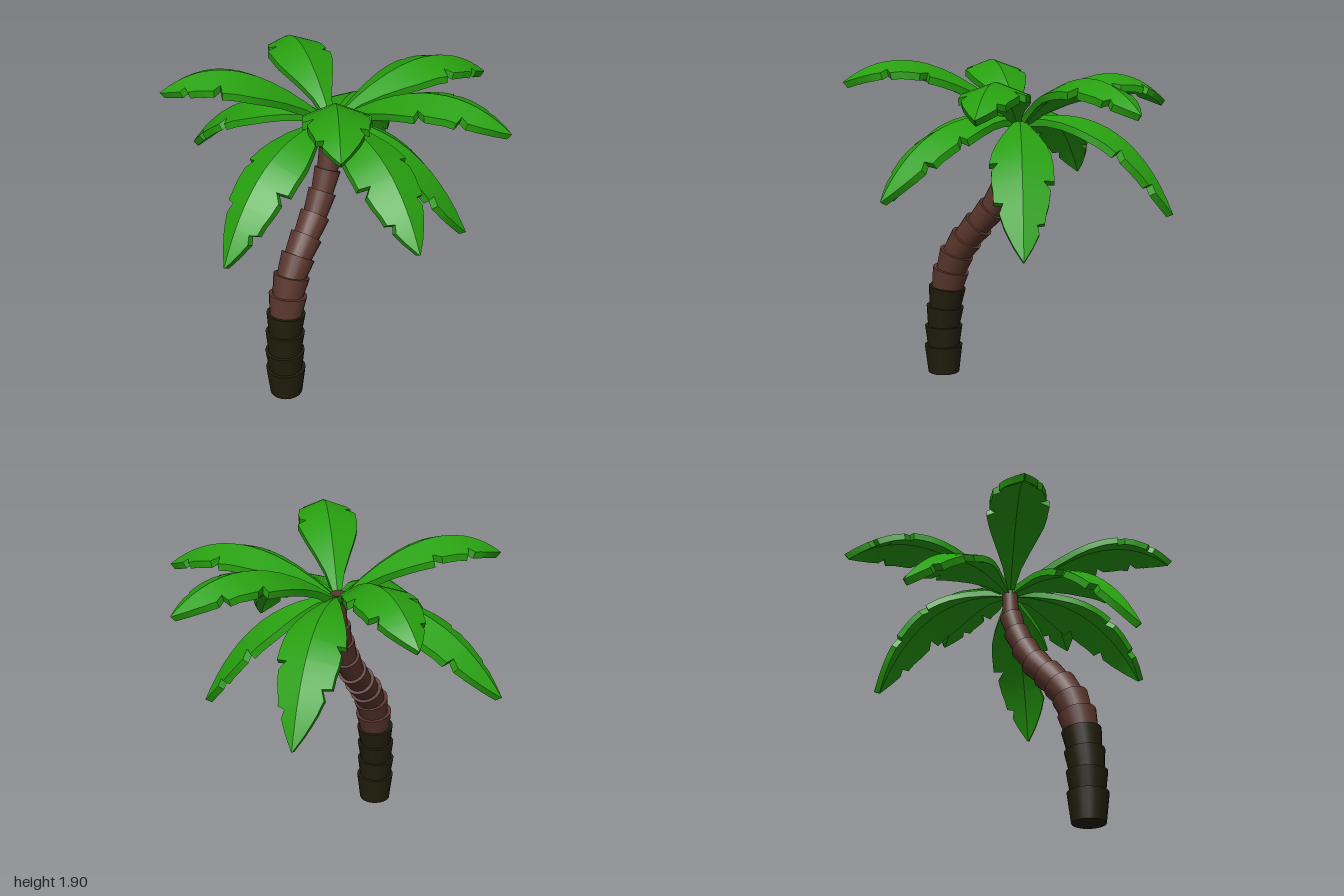
import * as THREE from 'three';
import { toCreasedNormals } from 'three/addons/utils/BufferGeometryUtils.js';

const V = (x, y, z) => new THREE.Vector3(x, y, z);
const UP = V(0, 1, 0);

// Frond outline: distance along the rib, half width on each side (dips are the tears)
const OUTLINE = [
  [0, 0.022, 0.022], [0.1, 0.055, 0.055], [0.2, 0.1, 0.1], [0.3, 0.14, 0.14],
  [0.38, 0.163, 0.163], [0.46, 0.172, 0.178], [0.47, 0.172, 0.13], [0.52, 0.173, 0.165],
  [0.59, 0.175, 0.165], [0.6, 0.115, 0.165], [0.65, 0.152, 0.158], [0.72, 0.142, 0.155],
  [0.73, 0.14, 0.105], [0.78, 0.125, 0.125], [0.83, 0.115, 0.107], [0.84, 0.075, 0.105],
  [0.88, 0.085, 0.085], [0.94, 0.05, 0.05], [1, 0.003, 0.003],
];
const FOLD = 0.36, THICK = 0.04;

// Solid frond: folded cross-sections swept along an arching rib
function frondGeometry(tip, bendRadius, bendY, flip) {
  const root = V(0, 1.565, 0);
  const out = V(tip.x, 0, tip.z).normalize();
  root.addScaledVector(out, 0.03);
  const bend = out.clone().multiplyScalar(bendRadius).setY(bendY);
  const rib = new THREE.QuadraticBezierCurve3(root, bend, tip);
  const side = out.clone().cross(UP);
  const rings = OUTLINE.map(([t, a, b]) => {
    const p = rib.getPoint(t);
    const normal = side.clone().cross(rib.getTangent(t));
    const edge = (w, s) => p.clone().addScaledVector(side, s * w).addScaledVector(normal, -FOLD * w);
    const top = [edge(flip ? b : a, -1), p, edge(flip ? a : b, 1)];
    const under = top.map((q) => q.clone().addScaledVector(normal, -THICK)).reverse();
    return [...top, ...under];
  });
  const pos = [];
  const quad = (a, b, c, d) => [a, b, c, a, c, d].forEach((q) => pos.push(q.x, q.y, q.z));
  for (let i = 0; i < rings.length - 1; i++) {
    const r = rings[i], s = rings[i + 1];
    for (let k = 0; k < 6; k++) {
      const n = (k + 1) % 6;
      quad(r[k], r[n], s[n], s[k]);
    }
  }
  // End caps
  const e = rings[rings.length - 1], f = rings[0];
  quad(e[0], e[1], e[4], e[5]);
  quad(e[1], e[2], e[3], e[4]);
  quad(f[5], f[4], f[1], f[0]);
  quad(f[4], f[3], f[2], f[1]);
  const g = new THREE.BufferGeometry();
  g.setAttribute('position', new THREE.Float32BufferAttribute(pos, 3));
  return toCreasedNormals(g, 0.5);
}

export function createModel() {
  const leafGreen = new THREE.MeshStandardMaterial({ color: 0x28a010 });
  leafGreen.name = 'leafGreen';
  const barkBrown = new THREE.MeshStandardMaterial({ color: 0x5a362d });
  barkBrown.name = 'barkBrown';
  const baseBark = new THREE.MeshStandardMaterial({ color: 0x211e0c });
  baseBark.name = 'baseBark';

  const tree = new THREE.Group();
  tree.name = 'palmTree';

  // Trunk: stacked rings, each flaring upward, along a leaning path
  const trunk = new THREE.Group();
  trunk.name = 'trunk';
  const path = [
    [-0.5, 0], [-0.5, 0.17], [-0.5, 0.29], [-0.49, 0.41], [-0.475, 0.53], [-0.45, 0.64],
    [-0.41, 0.745], [-0.343, 0.84], [-0.262, 0.93], [-0.175, 1.03], [-0.1, 1.147],
    [-0.045, 1.265], [-0.008, 1.38], [0, 1.575],
  ];
  const last = path.length - 1;
  const points = path.map(([x, y], i) => V(x, y, 0.035 * (1 - i / last)));
  for (let i = 0; i < last; i++) {
    const dir = points[i + 1].clone().sub(points[i]);
    const overlap = i ? 0.03 : 0;
    const length = dir.length() + overlap;
    dir.normalize();
    const r = i < 4 ? 0.115 - i * 0.001 : 0.11 - (i - 4) * 0.0058;
    const ring = new THREE.Mesh(
      new THREE.CylinderGeometry(i === last - 1 ? 0.045 : r, r * 0.82, length, 20),
      i < 4 ? baseBark : barkBrown,
    );
    ring.name = i < 4 ? 'baseRing' : 'trunkRing';
    if (i) ring.quaternion.setFromUnitVectors(UP, dir);
    ring.position.copy(points[i + 1]).addScaledVector(dir, -length / 2);
    trunk.add(ring);
  }
  tree.add(trunk);

  // Crown: tip x, y, z, then radius and height of the bend
  const fronds = {
    upperFrond: [
      [0.58, 1.63, -0.83, 0.6, 2.01], [0.91, 1.65, 0.45, 0.6, 2.02], [0.25, 1.64, 0.99, 0.6, 2.0],
      [-0.78, 1.78, 0.62, 0.6, 2.1], [-0.63, 1.76, -0.69, 0.55, 2.07],
    ],
    lowerFrond: [
      [-0.06, 1.16, -1, 0.62, 1.71], [0.85, 1.03, -0.25, 0.62, 1.7], [0.37, 0.89, 0.69, 0.52, 1.52],
      [-0.4, 1.17, 0.85, 0.63, 1.7], [-0.92, 1.03, -0.03, 0.64, 1.67],
    ],
  };
  const crown = new THREE.Group();
  crown.name = 'crown';
  for (const [name, list] of Object.entries(fronds)) {
    list.forEach(([x, y, z, bendRadius, bendY], i) => {
      const frond = new THREE.Mesh(frondGeometry(V(x, y, z), bendRadius, bendY, i % 2 === 1), leafGreen);
      frond.name = name;
      crown.add(frond);
    });
  }
  tree.add(crown);
  return tree;
}
